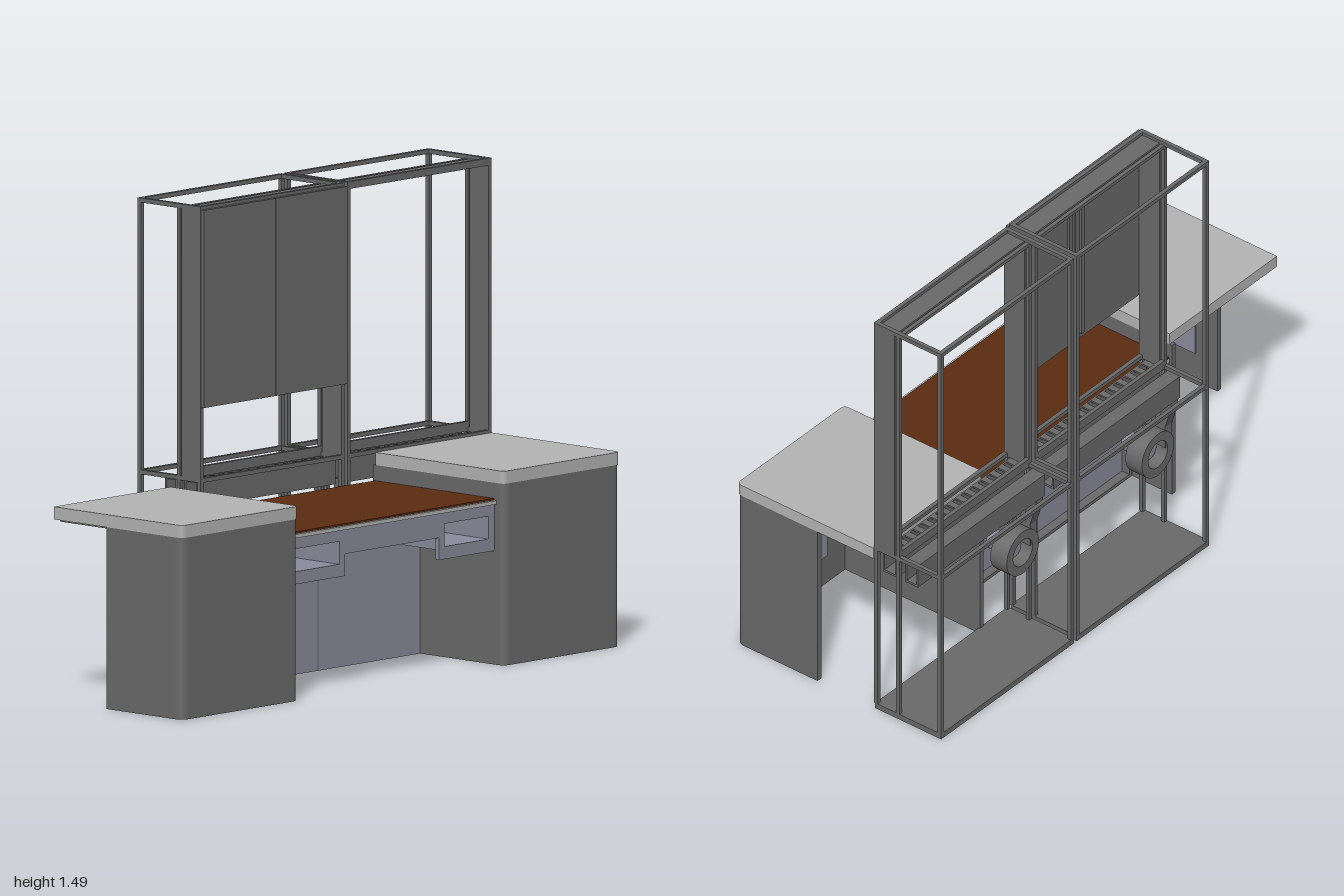
import * as THREE from 'three';

const mat = (name, color) => {
  const m = new THREE.MeshStandardMaterial({ color });
  m.name = name;
  return m;
};

export function createModel() {
  const root = new THREE.Group();
  const steel = mat('dark grey steel', 0x6a6a6a);
  const worktop = mat('light grey worktop', 0xb4b4b4);
  const brown = mat('brown desktop', 0x5c2c10);
  const lavender = mat('lavender grey panel', 0x8a8b9c);

  const add = (parent, name, geo, material) => {
    const mesh = new THREE.Mesh(geo, material);
    mesh.name = name;
    parent.add(mesh);
    return mesh;
  };
  // Box given by its lower and upper corner
  const box = (parent, name, material, x0, x1, y0, y1, z0, z1) =>
    add(parent, name, new THREE.BoxGeometry(x1 - x0, y1 - y0, z1 - z0), material)
      .position.set((x0 + x1) / 2, (y0 + y1) / 2, (z0 + z1) / 2);
  const group = (name) => {
    const g = new THREE.Group();
    g.name = name;
    root.add(g);
    return g;
  };
  // Plan outline with both front corners rounded, extruded upwards
  const plan = (s, backOuter, rest, y0, y1, r) => {
    const sh = new THREE.Shape();
    sh.moveTo(s, -backOuter);
    sh.lineTo(s, -0.41 + r);
    sh.quadraticCurveTo(s, -0.41, s * (1 - r), -0.41);
    sh.lineTo(s * (0.467 + r), -0.41);
    sh.quadraticCurveTo(s * 0.467, -0.41, s * 0.467, -0.41 + r);
    rest.forEach(([x, z]) => sh.lineTo(s * x, -z));
    const geo = new THREE.ExtrudeGeometry(sh, { depth: y1 - y0, bevelEnabled: false, curveSegments: 8 });
    return geo.rotateX(-Math.PI / 2).translate(0, y0, 0);
  };

  // Two side pedestals: a shell open at the back, with a worktop
  for (const s of [-1, 1]) {
    const g = group(s > 0 ? 'leftPedestal' : 'rightPedestal');
    add(g, 'pedestalShell', plan(s, 0.085,
      [[0.467, -0.15], [0.485, -0.15], [0.485, 0.392], [0.982, 0.392], [0.982, 0.085]], 0, 0.575, 0.03), steel);
    add(g, 'pedestalTop', plan(s, -0.14, [[0.467, -0.14]], 0.575, 0.615, 0.02), worktop);
    const span = (a, b) => (s > 0 ? [a, b] : [-b, -a]);
    box(g, 'frontInnerPanel', lavender, ...span(0.58, 0.89), 0.11, 0.49, 0.386, 0.392);
    box(g, 'sideInnerPanel', lavender, ...span(0.976, 0.982), 0.11, 0.49, 0.17, 0.31);
    // Grey underside lining
    box(g, 'topLining', steel, ...span(0.485, 0.982), 0.567, 0.575, -0.13, 0.392);
  }
  const grommet = add(root, 'cableGrommet', new THREE.CylinderGeometry(0.035, 0.035, 0.03, 24), steel);
  grommet.position.set(-0.76, 0.555, 0.05);

  // Middle desk
  const desk = group('desk');
  box(desk, 'deskSlab', worktop, -0.467, 0.467, 0.508, 0.52, -0.14, 0.38);
  box(desk, 'deskSurface', brown, -0.465, 0.465, 0.52, 0.526, -0.14, 0.37);
  box(desk, 'deskLining', steel, -0.467, 0.467, 0.5, 0.508, -0.14, 0.355);

  // Lavender panel with two cubby openings, from an outline
  const holed = (pts, depth, z) => {
    const sh = new THREE.Shape(pts.map(([x, y]) => new THREE.Vector2(x, y)));
    for (const s of [-1, 1]) {
      sh.holes.push(new THREE.Path([[0.24, 0.4], [0.44, 0.4], [0.44, 0.472], [0.24, 0.472]]
        .map(([x, y]) => new THREE.Vector2(s * x, y))));
    }
    return new THREE.ExtrudeGeometry(sh, { depth, bevelEnabled: false }).translate(0, 0, z);
  };
  add(desk, 'apron', holed([[-0.467, 0.36], [-0.215, 0.36], [-0.215, 0.43], [0.215, 0.43],
    [0.215, 0.36], [0.467, 0.36], [0.467, 0.508], [-0.467, 0.508]], 0.015, 0.355), lavender);
  add(desk, 'modestyPanel', holed([[-0.467, 0], [0.467, 0], [0.467, 0.5], [-0.467, 0.5]], 0.012, 0.04), lavender);
  box(desk, 'panelSeam', steel, -0.0015, 0.0015, 0, 0.36, 0.05, 0.053);
  box(desk, 'panelFoot', steel, -0.467, 0.467, 0, 0.012, 0.01, 0.04);
  for (const s of [-1, 1]) {
    box(desk, 'panelEdge', steel, s * 0.46 - 0.007, s * 0.46 + 0.007, 0, 0.38, 0.01, 0.04);
    // Cubby floor, ceiling and walls
    const c = s * 0.34;
    box(desk, 'cubbyFloor', lavender, c - 0.112, c + 0.112, 0.388, 0.4, 0.05, 0.356);
    box(desk, 'cubbyCeiling', lavender, c - 0.112, c + 0.112, 0.472, 0.484, 0.05, 0.356);
    for (const t of [-1, 1]) {
      const w = c + t * 0.106;
      box(desk, 'cubbyWall', lavender, w - 0.006, w + 0.006, 0.4, 0.472, 0.05, 0.356);
    }
  }

  // One rack bay: floor, posts, rails, channels, cable ducts and blower
  const T = 0.014;
  const ring = new THREE.Shape();
  ring.absarc(0, 0, 0.08, 0, Math.PI * 2, false);
  const bore = new THREE.Path();
  bore.absarc(0, 0, 0.048, 0, Math.PI * 2, true);
  ring.holes.push(bore);

  const bay = (name, x0, x1) => {
    const g = group(name);
    box(g, 'bayFloor', steel, x0, x1, 0, 0.02, -0.41, -0.145);
    for (const x of [x0, x1 - T]) {
      for (const z of [-0.41, -0.242, -0.154]) box(g, 'post', steel, x, x + T, 0.02, 1.485, z, z + T);
      for (const y of [0.611, 1.471]) box(g, 'sideRail', steel, x, x + T, y, y + T, -0.41, -0.14);
      box(g, 'sideChannel', steel, x, x + T, 0.625, 1.471, -0.222, -0.14);
    }
    for (const y of [0.611, 1.471])
      for (const z of [-0.41, -0.154]) box(g, 'longRail', steel, x0, x1, y, y + T, z, z + T);
    box(g, 'headerChannel', steel, x0, x1, 1.462, 1.474, -0.222, -0.14);
    box(g, 'rearHeader', steel, x0, x1, 1.462, 1.474, -0.242, -0.228);

    // Cable ducts: the front one has a slotted lid
    const a = x0 + T, b = x1 - T;
    for (const [z0, z1] of [[-0.222, -0.165], [-0.305, -0.255]]) {
      box(g, 'ductFloor', steel, a, b, 0.53, 0.538, z0, z1);
      box(g, 'ductFront', steel, a, b, 0.538, 0.612, z1 - 0.006, z1);
      box(g, 'ductBack', steel, a, b, 0.538, 0.612, z0, z0 + 0.006);
    }
    box(g, 'rearDuctLid', steel, a, b, 0.606, 0.612, -0.305, -0.255);
    const n = 15, step = (b - a) / n;
    for (let i = 0; i < n; i++)
      box(g, 'ductTooth', steel, a + i * step, a + (i + 0.55) * step, 0.606, 0.612, -0.217, -0.17);
    box(g, 'ductBeam', steel, a, b, 0.612, 0.643, -0.242, -0.228);

    // Blower with a forked outlet leading up to both ducts
    const cx = x0 + 0.09, cy = 0.34;
    add(g, 'blowerHousing', new THREE.ExtrudeGeometry(ring, { depth: 0.066, bevelEnabled: false, curveSegments: 24 }), steel)
      .position.set(cx, cy, -0.278);
    const motor = add(g, 'blowerMotor', new THREE.CylinderGeometry(0.033, 0.033, 0.09, 24).rotateX(Math.PI / 2), lavender);
    motor.position.set(cx, cy, -0.2);
    add(g, 'blowerHub', new THREE.CylinderGeometry(0.05, 0.05, 0.01, 24).rotateX(Math.PI / 2), steel)
      .position.set(cx, cy, -0.22);
    for (const [zTop, zLow] of [[-0.193, -0.23], [-0.28, -0.258]]) {
      // Side outline of one arm in (z, y), swept across x
      const arm = new THREE.Shape([[zLow - 0.014, 0.34], [zLow + 0.014, 0.34], [zLow + 0.014, 0.43],
        [zTop + 0.016, 0.5], [zTop + 0.016, 0.54], [zTop - 0.016, 0.54], [zTop - 0.016, 0.5], [zLow - 0.014, 0.42]]
        .map(([z, y]) => new THREE.Vector2(-z, y)));
      add(g, 'blowerArm', new THREE.ExtrudeGeometry(arm, { depth: 0.036, bevelEnabled: false })
        .rotateY(Math.PI / 2), steel).position.set(cx - 0.078, 0, 0);
    }
    return g;
  };
  const panelBay = bay('panelBay', -0.33, 0.326);
  bay('openBay', 0.34, 0.998);

  // Two flat doors on the front of the panel bay, with back ribs
  for (const s of [-1, 1]) {
    const [a, b] = s < 0 ? [-0.33, -0.0035] : [-0.0005, 0.326];
    box(panelBay, 'door', steel, a, b, 0.85, 1.475, -0.139, -0.126);
    box(panelBay, 'doorRib', steel, s * 0.03 - 0.008, s * 0.03 + 0.008, 0.87, 1.46, -0.148, -0.139);
  }
  return root;
}
